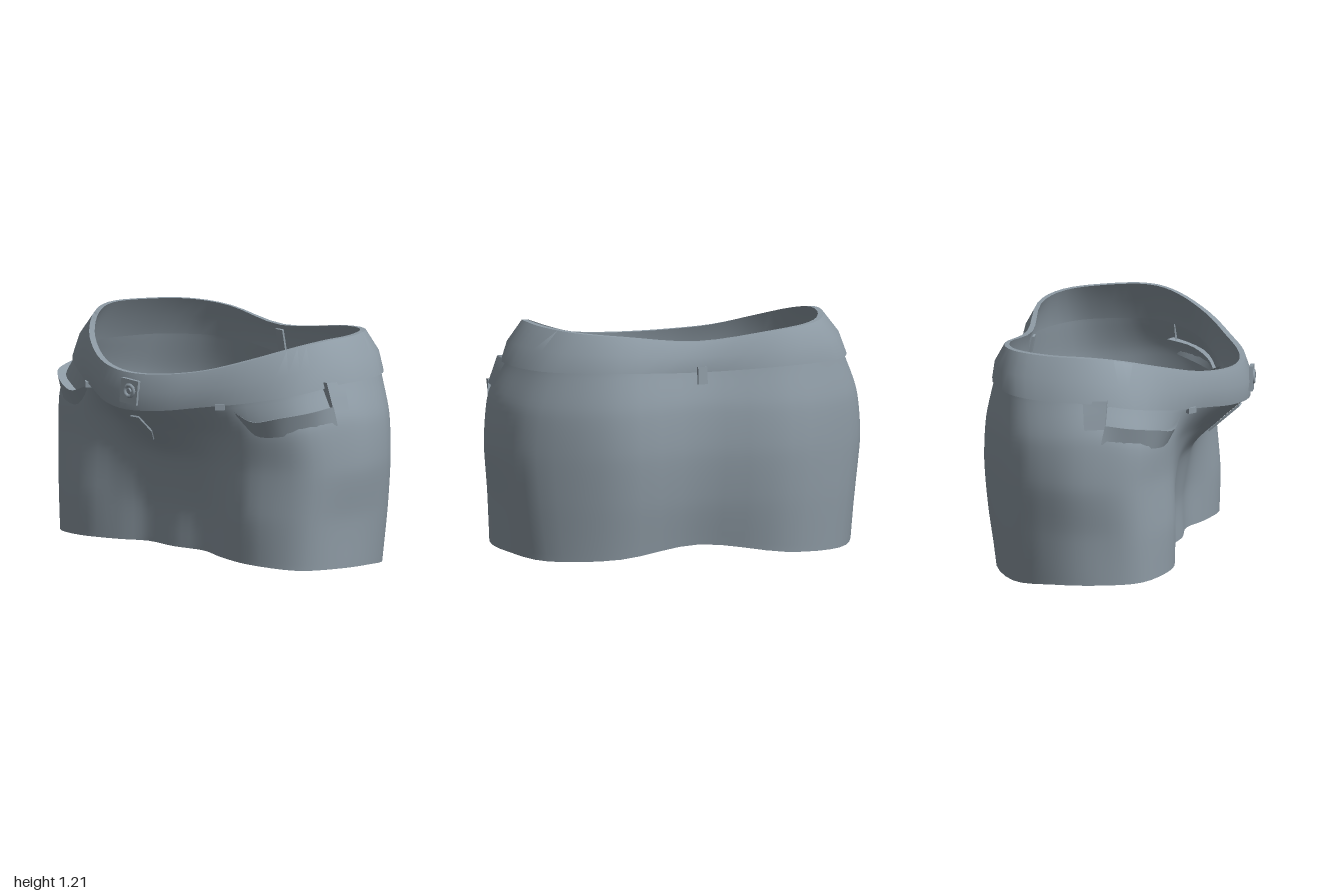
import * as THREE from 'three';
import { toCreasedNormals } from 'three/addons/utils/BufferGeometryUtils.js';

const V = (p) => new THREE.Vector3(...p);
const SEG = 72;

// Half outline (front centre -> back centre) mirrored into a closed smooth ring
function ring(half) {
  const mirrored = half.slice(1, -1).reverse().map(([x, y, z]) => [-x, y, z]);
  const curve = new THREE.CatmullRomCurve3([...half, ...mirrored].map(V), true, 'catmullrom', 0.5);
  return Array.from({ length: SEG + 1 }, (_, i) => curve.getPoint(i / SEG));
}

// Move half-outline points away from (or towards) the body axis
function offset(half, d) {
  return half.map(([x, y, z]) => {
    const l = Math.hypot(x, z + 0.03);
    return [x + (d * x) / l, y, z + (d * (z + 0.03)) / l];
  });
}

// Surface through rows of points, optionally smoothed from row to row
function loft(rows, steps = 0) {
  if (steps) {
    const columns = rows[0].map((_, i) => new THREE.CatmullRomCurve3(rows.map((r) => r[i]), false, 'catmullrom', 0.4));
    rows = Array.from({ length: steps + 1 }, (_, j) => columns.map((c) => c.getPoint(j / steps)));
  }
  const n = rows[0].length;
  const pos = rows.flat().flatMap((p) => [p.x, p.y, p.z]);
  const index = [];
  for (let j = 0; j < rows.length - 1; j++) {
    for (let i = 0; i < n - 1; i++) {
      const a = j * n + i, b = a + 1, c = b + n, d = a + n;
      index.push(a, b, c, a, c, d);
    }
  }
  const g = new THREE.BufferGeometry();
  g.setAttribute('position', new THREE.Float32BufferAttribute(pos, 3));
  g.setIndex(index);
  return toCreasedNormals(g, 0.9);
}

export function createModel() {
  const group = new THREE.Group();
  const cloth = new THREE.MeshStandardMaterial({ color: 0x8f9ca6, side: THREE.DoubleSide });
  cloth.name = 'greyBlueCloth';
  const add = (name, geometry, pos = [0, 0, 0], rot = [0, 0, 0]) => {
    const m = new THREE.Mesh(geometry, cloth);
    m.name = name;
    m.position.set(...pos);
    m.rotation.set(...rot);
    group.add(m);
    return m;
  };

  // Waistband outlines
  const bandTop = [[0, 1.03, 0.61], [0.2, 1.04, 0.57], [0.4, 1.07, 0.46], [0.59, 1.13, 0.31], [0.74, 1.19, 0.12],
    [0.8, 1.215, -0.05], [0.77, 1.21, -0.27], [0.65, 1.2, -0.48], [0.42, 1.18, -0.57], [0, 1.135, -0.54]];
  const bandBottom = [[0, 0.84, 0.64], [0.2, 0.85, 0.59], [0.4, 0.88, 0.48], [0.6, 0.91, 0.36], [0.82, 0.96, 0.2],
    [0.91, 1.0, -0.02], [0.9, 1.0, -0.25], [0.78, 1.0, -0.48], [0.46, 1.0, -0.63], [0, 0.98, -0.58]];
  const bandMid = bandTop.map((p, i) => p.map((c, k) => (c + bandBottom[i][k]) / 2));

  // Skirt body, hem to waistband
  const hem = [[0, 0.07, 0.285], [0.2, 0.07, 0.265], [0.38, 0.065, 0.32], [0.62, 0.06, 0.355], [0.86, 0.045, 0.25],
    [0.95, 0.04, 0.04], [0.94, 0.03, -0.2], [0.8, 0.005, -0.45], [0.45, 0.02, -0.61], [0, 0.07, -0.54]];
  const thigh = [[0, 0.3, 0.28], [0.2, 0.3, 0.27], [0.38, 0.3, 0.32], [0.62, 0.3, 0.36], [0.88, 0.3, 0.24],
    [0.96, 0.3, 0.03], [0.96, 0.3, -0.2], [0.84, 0.3, -0.45], [0.46, 0.3, -0.65], [0, 0.3, -0.59]];
  const hip = [[0, 0.56, 0.335], [0.2, 0.56, 0.32], [0.38, 0.56, 0.33], [0.62, 0.56, 0.34], [0.89, 0.56, 0.23],
    [0.99, 0.56, 0.02], [0.99, 0.56, -0.2], [0.86, 0.56, -0.45], [0.47, 0.56, -0.67], [0, 0.56, -0.62]];
  const upper = [[0, 0.71, 0.48], [0.2, 0.71, 0.42], [0.38, 0.72, 0.37], [0.62, 0.74, 0.345], [0.87, 0.78, 0.24],
    [0.965, 0.82, 0.03], [0.97, 0.8, -0.2], [0.84, 0.79, -0.46], [0.47, 0.79, -0.66], [0, 0.8, -0.61]];
  add('skirtBody', loft([hem, thigh, hip, upper, offset(bandBottom, -0.015)].map(ring), 28));

  // Thick rolled waistband
  const bandRows = [offset(bandBottom, -0.035), bandBottom, offset(bandMid, 0.022), bandTop,
    offset(bandTop, -0.03), offset(bandMid, -0.02), offset(bandBottom, -0.035)];
  add('waistband', loft(bandRows.map(ring)));

  // Slanted pocket lips standing off the hips
  const curve = (pts, s) => new THREE.CatmullRomCurve3(pts.map(([x, y, z]) => V([s * x, y, z]))).getPoints(14);
  const lip = [[0.54, 0.86, 0.385], [0.66, 0.82, 0.375], [0.8, 0.85, 0.315], [0.92, 0.88, 0.2], [0.955, 0.9, 0.07]];
  const lipBase = [[0.55, 0.8, 0.35], [0.66, 0.74, 0.335], [0.8, 0.75, 0.285], [0.91, 0.77, 0.17], [0.965, 0.8, 0.05]];
  const pocketInside = lip.map(([x, y, z]) => [x - 0.05, y - 0.01, z - 0.05]);
  for (const s of [1, -1]) {
    const side = s > 0 ? 'left' : 'right';
    add(side + 'PocketLip', loft([lipBase, lip, pocketInside].map((p) => curve(p, s))));
    // Side step where the pocket meets the seam
    const edge = [[0.955, 0.88, 0.07], [0.93, 0.95, 0.07], [0.905, 1.02, 0.07]];
    const seat = [[0.96, 0.87, -0.04], [0.93, 0.95, -0.05], [0.9, 1.01, -0.06]];
    add(side + 'SeamStep', loft([seat, edge, edge.map(([x, y, z]) => [x - 0.06, y, z - 0.005])].map((p) => curve(p, s))));
    // Belt loop stub below the waistband
    add(side + 'FrontLoop', new THREE.BoxGeometry(0.05, 0.03, 0.03), [s * 0.48, 0.885, 0.43], [0, s * 0.7, 0]);
  }

  // Fastening: overlapping tab, button and fly
  add('waistTab', new THREE.BoxGeometry(0.11, 0.13, 0.02), [0.035, 0.94, 0.645], [0, 0.12, -0.1]);
  add('buttonRim', new THREE.TorusGeometry(0.03, 0.01, 6, 10), [0.04, 0.945, 0.655], [0, 0.12, 0]);
  add('buttonCentre', new THREE.CylinderGeometry(0.012, 0.016, 0.012, 8), [0.04, 0.945, 0.656], [Math.PI / 2, 0, 0]);
  const fly = new THREE.Shape([[-0.02, 0.1], [0.04, 0.1], [0.04, -0.03], [-0.01, -0.12], [-0.02, 0]].map((p) => new THREE.Vector2(...p)));
  add('zipFly', new THREE.ExtrudeGeometry(fly, { depth: 0.009, bevelEnabled: false }), [0.005, 0.735, 0.512], [0.84, 0, 0]);

  // Loops at the centre back
  add('backInnerLoop', new THREE.BoxGeometry(0.05, 0.13, 0.012), [0, 1.05, -0.515], [0.2, 0, 0]);
  add('backLoop', new THREE.BoxGeometry(0.05, 0.09, 0.02), [0, 0.965, -0.595], [0.1, 0, 0]);
  return group;
}
